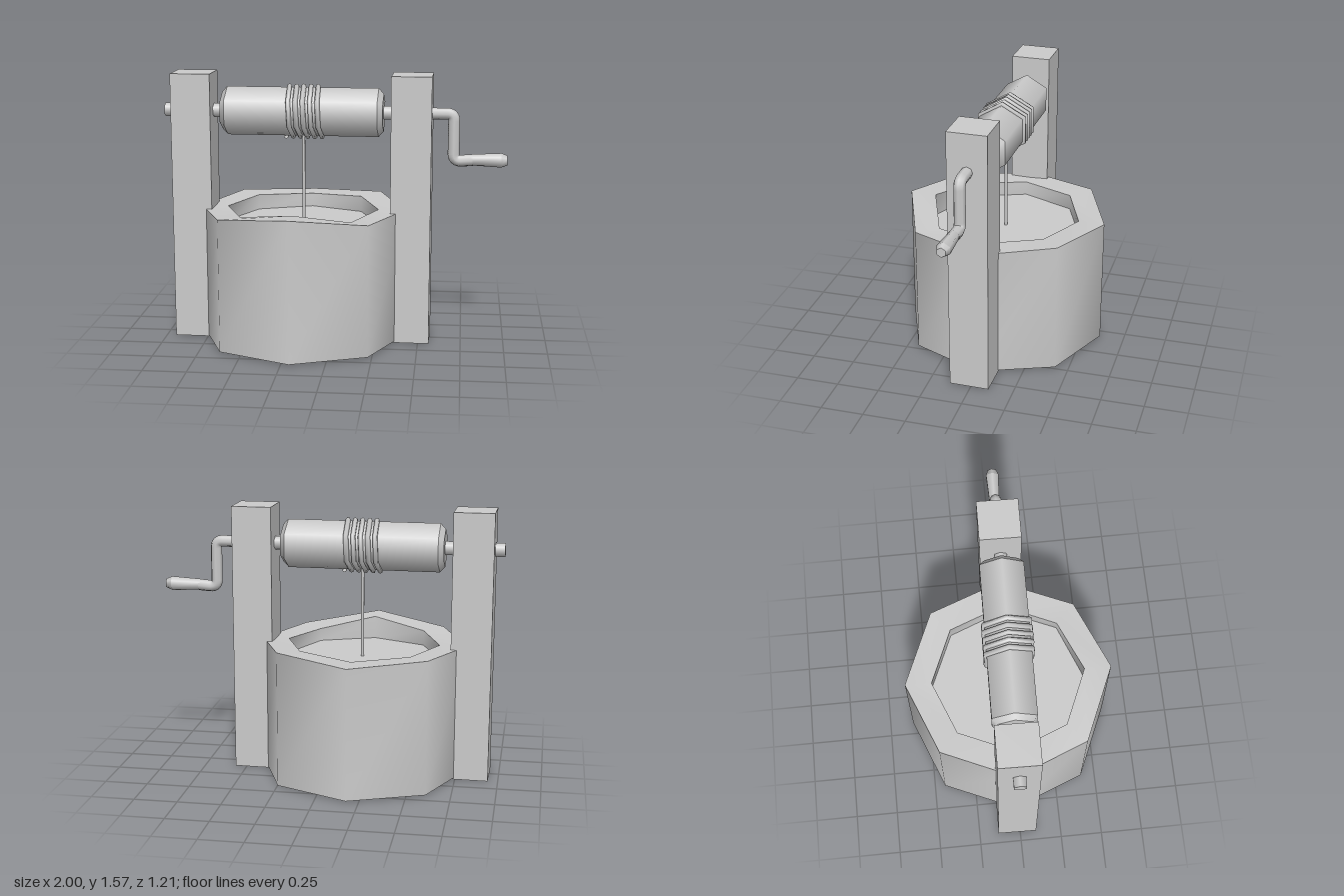
import * as THREE from 'three';

const SIDES = 8;
const WELL_X = -0.19;
const AXLE_Y = 1.347;
const material = new THREE.MeshStandardMaterial({ color: 0xcccccc, side: THREE.DoubleSide });

function add(parent, name, geometry, x = 0, y = 0, z = 0) {
  const mesh = new THREE.Mesh(geometry, material);
  mesh.name = name;
  mesh.position.set(x, y, z);
  parent.add(mesh);
  return mesh;
}

// Closed octagon of points; heights may be one value or one per corner
function ring(radius, heights) {
  return Array.from({ length: SIDES }, (_, i) => {
    const a = (i / SIDES) * Math.PI * 2;
    return [radius * Math.cos(a), Array.isArray(heights) ? heights[i] : heights, radius * Math.sin(a)];
  });
}

// Smooth band of quads joining two rings
function band(lower, upper) {
  const index = [];
  for (let i = 0; i < SIDES; i++) {
    const j = (i + 1) % SIDES;
    index.push(i, i + SIDES, j, j, i + SIDES, j + SIDES);
  }
  const g = new THREE.BufferGeometry();
  g.setAttribute('position', new THREE.Float32BufferAttribute([...lower, ...upper].flat(), 3));
  g.setIndex(index);
  g.computeVertexNormals();
  return g;
}

// Six-sided turned shape lying along x, from [radius, x] pairs; repeated pairs make a crease
function turned(profile) {
  const points = profile.map(([r, x]) => new THREE.Vector2(r, x));
  return new THREE.LatheGeometry(points, 6, Math.PI / 2).rotateZ(-Math.PI / 2);
}

// Rope wound around the drum
class Winding extends THREE.Curve {
  constructor(turns, radius, x0, x1) {
    super();
    Object.assign(this, { turns, radius, x0, x1 });
  }
  getPoint(t, target = new THREE.Vector3()) {
    const a = t * this.turns * Math.PI * 2;
    return target.set(
      THREE.MathUtils.lerp(this.x0, this.x1, t), -this.radius * Math.cos(a), -this.radius * Math.sin(a));
  }
}

// Square post, open underneath
function postGeometry() {
  const g = new THREE.BoxGeometry(0.232, 1.57, 0.232);
  const index = Array.from(g.index.array);
  index.splice(18, 6);
  g.setIndex(index);
  g.clearGroups();
  return g;
}

export function createModel() {
  const model = new THREE.Group();
  model.name = 'waterWell';
  model.rotation.y = -0.019;

  // Stone ring with an uneven rim
  const well = new THREE.Group();
  well.name = 'wellRing';
  well.position.x = WELL_X;
  model.add(well);
  const outerTop = ring(0.603, [0.775, 0.775, 0.83, 0.785, 0.775, 0.79, 0.77, 0.797]);
  const innerTop = ring(0.447, [0.775, 0.765, 0.825, 0.78, 0.775, 0.78, 0.77, 0.785]);
  add(well, 'outerWall', band(ring(0.603, 0.008), outerTop));
  add(well, 'rim', band(outerTop, innerTop));
  add(well, 'innerWall', band(innerTop, ring(0.447, 0.68)));
  add(well, 'waterSurface', new THREE.CircleGeometry(0.447, SIDES).rotateX(-Math.PI / 2), 0, 0.69, 0);

  // Two posts
  add(model, 'rightPost', postGeometry(), -0.828, 0.785, 0);
  add(model, 'leftPost', postGeometry(), 0.45, 0.785, 0);

  // Axle and drum
  add(model, 'axle', turned([[0, -1], [0.04, -1], [0.04, -1], [0.04, 0.5]]), 0, AXLE_Y);
  add(model, 'drum', turned([
    [0, -0.66], [0.11, -0.66], [0.11, -0.66], [0.142, -0.63], [0.142, -0.63],
    [0.142, 0.255], [0.142, 0.255], [0.11, 0.285], [0.11, 0.285], [0, 0.285],
  ]), 0, AXLE_Y);

  // Rope coils and hanging rope
  const winding = new Winding(5, 0.147, -0.285, -0.075);
  add(model, 'ropeCoils', new THREE.TubeGeometry(winding, 30, 0.015, 6), 0, AXLE_Y);
  add(model, 'hangingRope', new THREE.CylinderGeometry(0.01, 0.01, 0.53, 6), -0.183, 0.955);

  // Bent crank arm
  const v = (x, y) => new THREE.Vector3(x, y, 0);
  const path = new THREE.CurvePath();
  path.add(new THREE.LineCurve3(v(0.5, AXLE_Y), v(0.65, AXLE_Y)));
  path.add(new THREE.QuadraticBezierCurve3(v(0.65, AXLE_Y), v(0.69, AXLE_Y), v(0.69, 1.307)));
  path.add(new THREE.LineCurve3(v(0.69, 1.307), v(0.69, 1.115)));
  path.add(new THREE.QuadraticBezierCurve3(v(0.69, 1.115), v(0.69, 1.075), v(0.73, 1.075)));
  path.add(new THREE.LineCurve3(v(0.73, 1.075), v(0.8, 1.08)));
  add(model, 'crankArm', new THREE.TubeGeometry(path, 48, 0.034, 8));

  // Crank handle
  add(model, 'crankHandle', turned([
    [0, 0.74], [0.024, 0.74], [0.033, 0.8], [0.042, 0.965], [0.042, 0.965], [0.028, 1], [0.028, 1], [0, 1],
  ]), 0, 1.082);

  return model;
}
